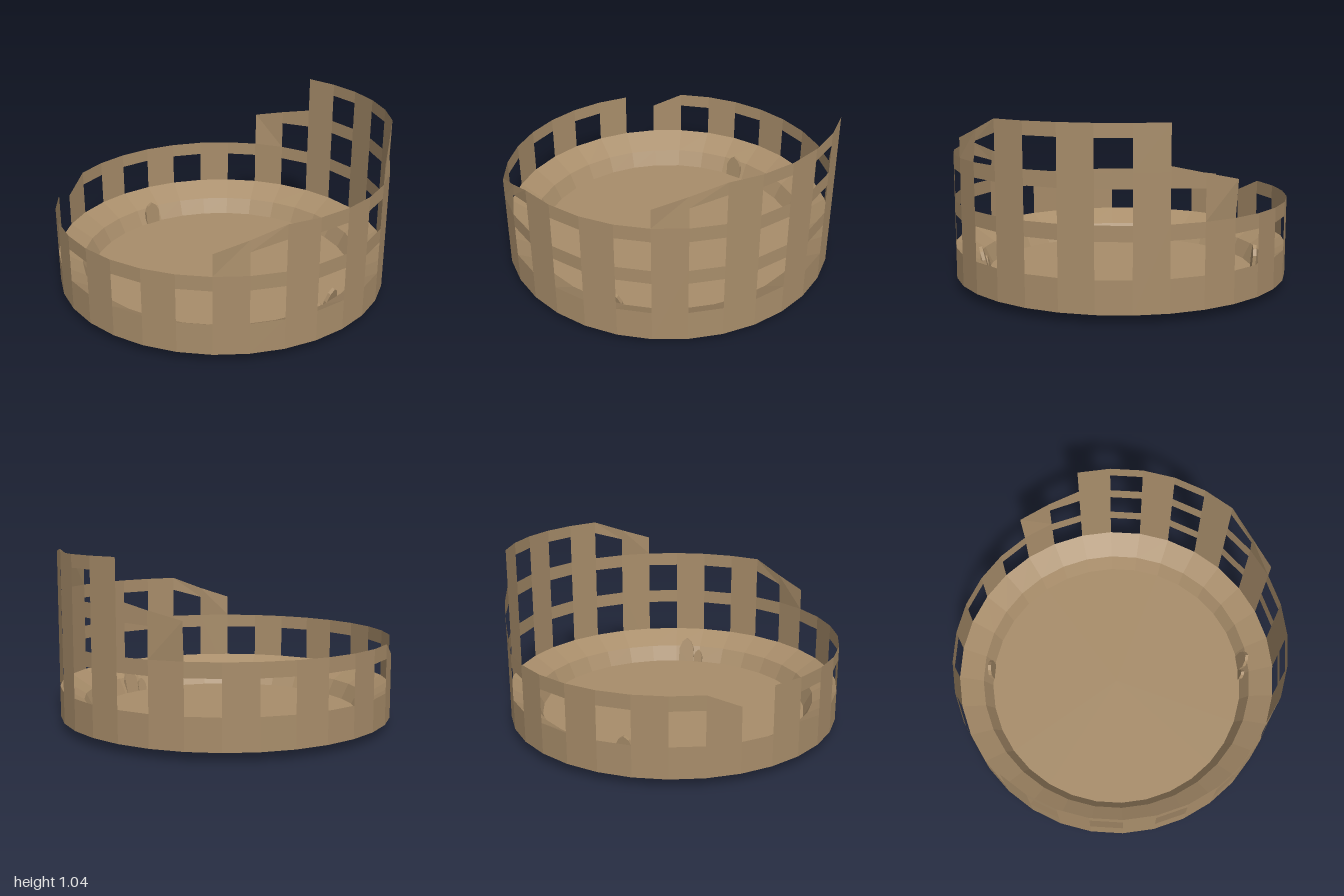
import * as THREE from 'three';

const SIDES = 32;
const stone = new THREE.MeshStandardMaterial({ color: 0xa88d6a, side: THREE.DoubleSide, flatShading: true });
stone.name = 'sandstone';

// Point on the ring at corner i (counted from the front towards +x)
function ringPoint(i, y, r = 1) {
  const a = (i / SIDES) * Math.PI * 2;
  return [Math.sin(a) * r, y, Math.cos(a) * r];
}

// One storey of wall: odd panels have an opening, even panels are solid.
// tops / lintels / lean override the values at single broken corners.
function buildTier(name, { from, to, base, sill, lintel, top, tops = {}, lintels = {}, lean = {}, open = [] }) {
  const positions = [];
  const topAt = i => tops[i] ?? top;
  const lintelAt = i => lintels[i] ?? lintel;
  const corner = (i, y) => ringPoint(i, y, 1 + (lean[i] ?? 0) * (y - base) / (topAt(i) - base));
  const quad = (i, lowA, lowB, highA, highB) => {
    const a = corner(i, lowA), b = corner(i + 1, lowB);
    const c = corner(i + 1, highB), d = corner(i, highA);
    positions.push(...a, ...b, ...c, ...a, ...c, ...d);
  };
  for (let i = from; i <= to; i++) {
    if (i % 2 === 0) {
      quad(i, base, base, topAt(i), topAt(i + 1));
      continue;
    }
    if (sill > base) quad(i, base, base, sill, sill);
    if (!open.includes(i)) quad(i, lintelAt(i), lintelAt(i + 1), topAt(i), topAt(i + 1));
  }
  const geometry = new THREE.BufferGeometry();
  geometry.setAttribute('position', new THREE.Float32BufferAttribute(positions, 3));
  geometry.computeVertexNormals();
  const mesh = new THREE.Mesh(geometry, stone);
  mesh.name = name;
  return mesh;
}

// Thin slab with a pointed arch top, standing on its base
function buildSlab(name, width, height, depth, position, tilt, yaw) {
  const w = width / 2;
  const shape = new THREE.Shape([
    [-w, 0], [w, 0], [w, height * 0.65], [w * 0.6, height * 0.88],
    [0, height], [-w * 0.6, height * 0.88], [-w, height * 0.65],
  ].map(([x, y]) => new THREE.Vector2(x, y)));
  const geometry = new THREE.ExtrudeGeometry(shape, { depth, bevelEnabled: false });
  geometry.translate(0, 0, -depth / 2);
  const mesh = new THREE.Mesh(geometry, stone);
  mesh.name = name;
  mesh.position.set(...position);
  mesh.rotation.set(tilt, yaw, 0);
  return mesh;
}

export function createModel() {
  const model = new THREE.Group();
  model.name = 'ruinedArena';

  // Outer wall, three storeys with a crumbled outline
  model.add(buildTier('lowerWall', {
    from: -16, to: 15, base: 0.05, sill: 0.235, lintel: 0.435, top: 0.52,
    tops: { [-13]: 0.435 }, open: [-13],
  }));
  model.add(buildTier('middleWall', {
    from: -4, to: 8, base: 0.52, sill: 0.52, lintel: 0.705, top: 0.79,
    tops: { [-4]: 0.65, [-3]: 0.715 }, lintels: { [-3]: 0.65 }, lean: { [-3]: -0.018 },
  }));
  model.add(buildTier('brokenMiddleWall', {
    from: 9, to: 10, base: 0.52, sill: 0.52, lintel: 0.705, top: 0.82,
    tops: { 10: 0.775, 11: 0.73 }, lintels: { 10: 0.695 }, lean: { 11: 0.018 },
  }));
  model.add(buildTier('upperWall', {
    from: 2, to: 8, base: 0.79, sill: 0.79, lintel: 0.965, top: 1.04,
    tops: { 2: 0.905, 3: 0.97 }, lintels: { 3: 0.905 }, lean: { 3: -0.018 },
  }));

  // Arena floor and the sloping stands around it
  const profile = [[0, 0.055], [0.81, 0.055], [0.86, 0.15], [1, 0.235]];
  const bowl = new THREE.Mesh(
    new THREE.LatheGeometry(profile.map(([r, y]) => new THREE.Vector2(r, y)), SIDES), stone);
  bowl.name = 'floorAndStands';
  model.add(bowl);

  // Closed underside
  const underside = new THREE.Mesh(new THREE.CircleGeometry(1, SIDES).rotateX(Math.PI / 2), stone);
  underside.name = 'underside';
  underside.position.y = 0.05;
  model.add(underside);

  // Leaning slabs at the edge of the floor
  model.add(buildSlab('largeFrontSlab', 0.1, 0.215, 0.02, [0.09, 0.003, 0.795], 0.25, 0.08));
  model.add(buildSlab('smallFrontSlab', 0.06, 0.135, 0.02, [0.005, 0.003, 0.798], 0.2, -0.08));
  model.add(buildSlab('backSlab', 0.1, 0.17, 0.02, [0.09, 0.03, -0.805], -0.08, -0.1));

  return model;
}
